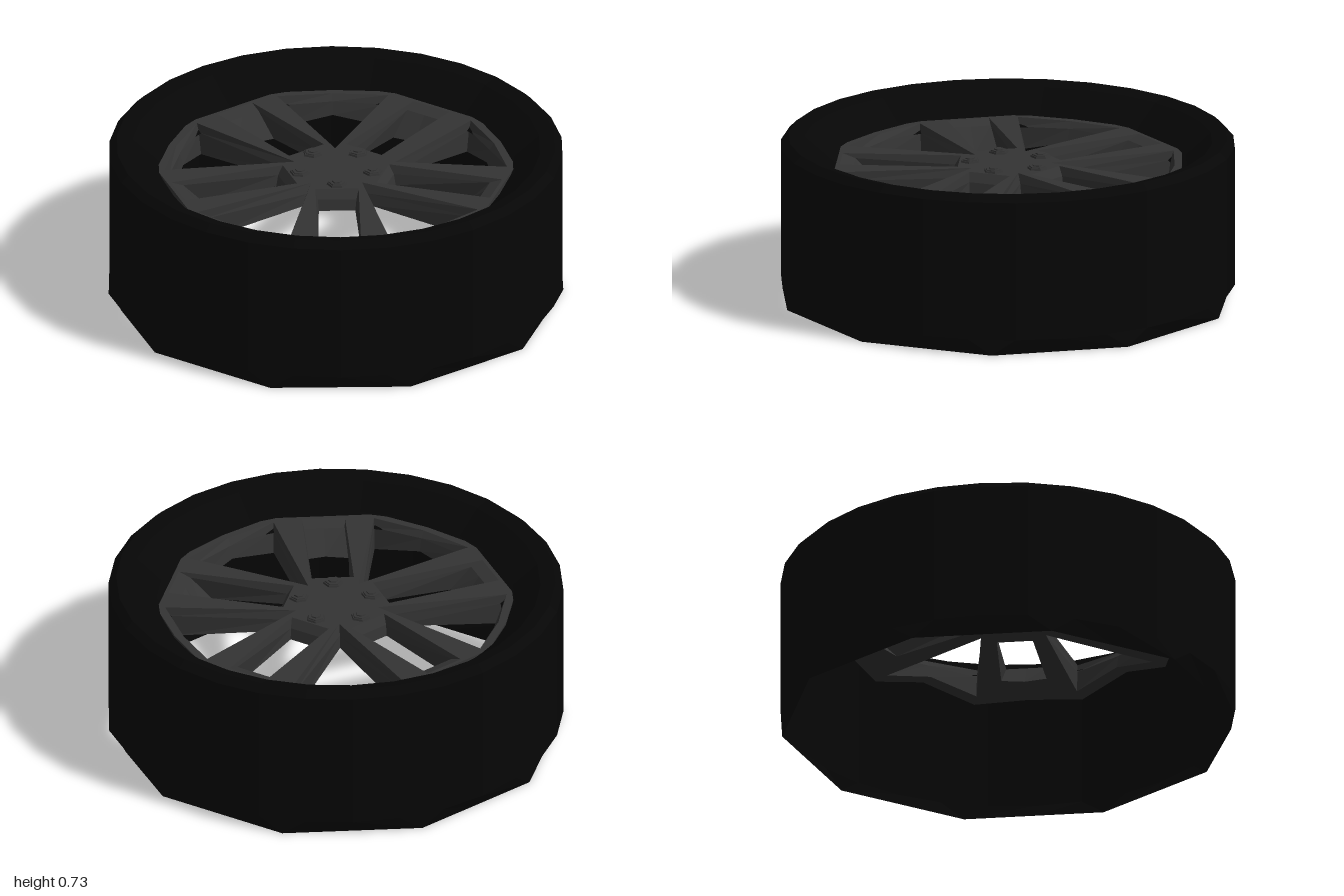
import * as THREE from 'three';

const FIFTH = (Math.PI * 2) / 5;
const rubber = new THREE.MeshStandardMaterial({ color: 0x060606, flatShading: true, side: THREE.DoubleSide });
const alloy = new THREE.MeshStandardMaterial({ color: 0x333333, flatShading: true });
const rad = THREE.MathUtils.degToRad;

function part(name, geometry, material) {
  const mesh = new THREE.Mesh(geometry, material);
  mesh.name = name;
  return mesh;
}

// Thirty-sided open shell: lower skirt, tread, shoulder and dished sidewall
function makeTyre() {
  const profile = [[1, 0], [1, 0.07], [1, 0.695], [0.967, 0.727], [0.9, 0.71], [0.79, 0.615], [0.73, 0.57]];
  const geo = new THREE.LatheGeometry(profile.map(([r, y]) => new THREE.Vector2(r, y)), 30);
  geo.rotateY(Math.PI / 2);
  // The bottom edge narrows to ten sides: snap to corners or to edge middles
  const p = geo.attributes.position;
  for (let i = 0; i < p.count; i++) {
    if (p.getY(i) > 0.01) continue;
    const a = Math.atan2(p.getZ(i), p.getX(i));
    const corner = rad(18) + Math.round((a - rad(18)) / rad(36)) * rad(36);
    const isMiddle = Math.abs(a - corner) > rad(12);
    const angle = isMiddle ? a : corner;
    const r = isMiddle ? Math.cos(rad(18)) : 1;
    p.setXYZ(i, r * Math.cos(angle), 0, r * Math.sin(angle));
  }
  geo.computeVertexNormals();
  return part('tyre', geo, rubber);
}

// Point given along the middle of a wide opening, half a turn step from a spoke pair
function wide(x, across, y) {
  const v = new THREE.Vector2(x, across).rotateAround(new THREE.Vector2(), FIFTH / 2);
  return [v.x, v.y, y];
}

// Half of one spoke pair; each point lists [along, across, height] at top, middle, bottom
const HALF = {
  hub: [[0, 0, 0.61], [0, 0, 0.57], [0, 0, 0.53]],
  slotIn: [[0.215, 0, 0.61], [0.24, 0, 0.57], [0.25, 0, 0.52]],
  slotInCorner: [[0.215, 0.095, 0.61], [0.24, 0.085, 0.57], [0.25, 0.08, 0.52]],
  slotOutCorner: [[0.735, 0.095, 0.61], [0.68, 0.09, 0.59], [0.585, 0.1, 0.49]],
  slotOut: [[0.735, 0, 0.61], [0.68, 0, 0.59], [0.605, 0, 0.49]],
  end: [[0.752, 0, 0.61], [0.752, 0, 0.56], [0.752, 0, 0.47]],
  endCorner: [wide(0.75, -0.248, 0.61), wide(0.75, -0.248, 0.56), wide(0.75, -0.248, 0.46)],
  rimMiddle: [wide(0.768, 0, 0.61), wide(0.768, 0, 0.57), wide(0.768, 0, 0.52)],
  openMiddle: [wide(0.735, 0, 0.61), wide(0.715, 0, 0.58), wide(0.702, 0, 0.52)],
  openCorner: [wide(0.712, -0.243, 0.61), wide(0.7, -0.233, 0.57), wide(0.688, -0.225, 0.47)],
  openApex: [wide(0.19, 0, 0.61), wide(0.225, 0, 0.57), wide(0.245, 0, 0.52)],
};
const CAPS = [
  ['hub', 'slotIn', 'slotInCorner', 'openApex'],
  ['slotInCorner', 'slotOutCorner', 'openCorner', 'openApex'],
  ['slotOut', 'end', 'endCorner', 'slotOutCorner'],
  ['slotOutCorner', 'endCorner', 'openCorner'],
  ['openCorner', 'endCorner', 'rimMiddle', 'openMiddle'],
];
const WALLS = [
  ['slotIn', 'slotInCorner'], ['slotInCorner', 'slotOutCorner'], ['slotOutCorner', 'slotOut'],
  ['openMiddle', 'openCorner'], ['openCorner', 'openApex'],
  ['end', 'endCorner'], ['endCorner', 'rimMiddle'],
];

// One spoke pair with its share of hub and rim, mirrored about its middle
function makeSpokePair(angle) {
  const positions = [];
  for (const side of [1, -1]) {
    const face = (corners) => {
      const c = side > 0 ? corners : [...corners].reverse();
      for (let i = 1; i < c.length - 1; i++) {
        for (const [x, z, y] of [c[0], c[i], c[i + 1]]) positions.push(x, y, z * side);
      }
    };
    for (const cap of CAPS) {
      face(cap.map((n) => HALF[n][0]).reverse());
      face(cap.map((n) => HALF[n][2]));
    }
    for (const [a, b] of WALLS) {
      for (let k = 0; k < 2; k++) face([HALF[a][k], HALF[b][k], HALF[b][k + 1], HALF[a][k + 1]]);
    }
  }
  const geo = new THREE.BufferGeometry();
  geo.setAttribute('position', new THREE.Float32BufferAttribute(positions, 3));
  geo.computeVertexNormals();
  const mesh = part('spokePair', geo, alloy);
  mesh.rotation.y = angle;
  return mesh;
}

// Hexagonal nut on a shallow seat with a smaller raised cap
function makeNut(angle) {
  const nut = new THREE.Group();
  nut.name = 'wheelNut';
  [['nutSeat', 0.046, 0.612], ['nutBody', 0.039, 0.617], ['nutCap', 0.023, 0.622]].forEach(([name, r, y]) => {
    const mesh = part(name, new THREE.CylinderGeometry(r * 0.92, r, 0.012, 6), alloy);
    mesh.position.set(0.168, y, 0);
    nut.add(mesh);
  });
  nut.rotation.y = angle;
  return nut;
}

export function createModel() {
  const wheel = new THREE.Group();
  wheel.name = 'wheel';
  wheel.add(makeTyre());
  for (let i = 0; i < 5; i++) {
    const angle = (i + 0.5) * FIFTH;
    wheel.add(makeSpokePair(angle), makeNut(angle));
  }
  return wheel;
}
